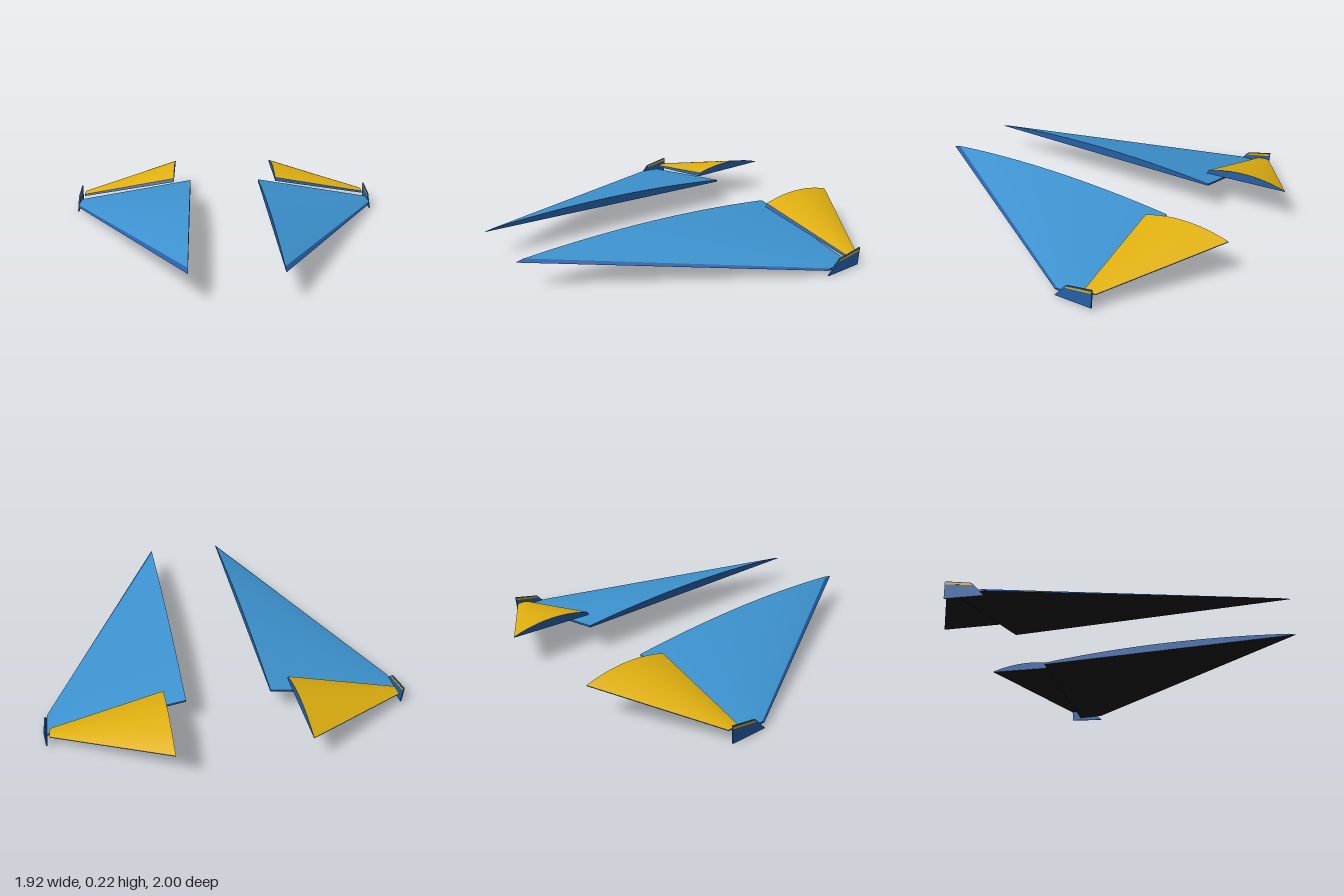
import * as THREE from 'three';
import { mergeGeometries } from 'three/addons/utils/BufferGeometryUtils.js';

const mat = (name, color, side = THREE.FrontSide) => {
  const m = new THREE.MeshStandardMaterial({ color, side });
  m.name = name;
  return m;
};

// Smooth surface ruled between two rows of points
function ruled(a, b, steps, side) {
  const n = a.length, pos = [], idx = [];
  for (let j = 0; j <= steps; j++)
    for (let i = 0; i < n; i++) {
      const p = a[i].clone().lerp(b[i], j / steps);
      pos.push(p.x * side, p.y, p.z);
    }
  for (let j = 0; j < steps; j++)
    for (let i = 0; i < n - 1; i++) {
      const p = j * n + i, q = p + n;
      if (side > 0) idx.push(p, q, p + 1, p + 1, q, q + 1);
      else idx.push(p, p + 1, q, p + 1, q + 1, q);
    }
  const g = new THREE.BufferGeometry();
  g.setAttribute('position', new THREE.Float32BufferAttribute(pos, 3));
  g.setIndex(idx);
  g.computeVertexNormals();
  return g;
}

// Chord line from front to back, arched upward by camber
function chord(x, zFront, yFront, zBack, yBack, camber = 0, n = 24) {
  return Array.from({ length: n + 1 }, (_, i) => {
    const t = i / n;
    return new THREE.Vector3(x,
      THREE.MathUtils.lerp(yFront, yBack, t) + camber * 4 * t * (1 - t),
      THREE.MathUtils.lerp(zFront, zBack, t));
  });
}

// Closed panel with an arched top, flat underside and contrasting edges
function panel(name, side, { rootTop, rootBottom, tipTop, tipBottom }, skin, under, edge) {
  const group = new THREE.Group();
  group.name = name;
  const add = (part, geo, material) => {
    const m = new THREE.Mesh(geo, material);
    m.name = name + part;
    group.add(m);
  };
  const last = rootTop.length - 1;
  add('Skin', ruled(rootTop, tipTop, 10, side), skin);
  add('Underside', ruled(tipBottom, rootBottom, 10, side), under);
  add('Edges', mergeGeometries([
    ruled(rootBottom, rootTop, 1, side),
    ruled(tipTop, tipBottom, 1, side),
    ruled([rootTop[0], tipTop[0]], [rootBottom[0], tipBottom[0]], 1, side),
    ruled([rootBottom[last], tipBottom[last]], [rootTop[last], tipTop[last]], 1, side),
  ]), edge);
  return group;
}

// Thin upright plate from [z, y] corners, centred on x
function plate(name, corners, x, depth, material) {
  const shape = new THREE.Shape(corners.map(([z, y]) => new THREE.Vector2(-z, y)));
  const g = new THREE.ExtrudeGeometry(shape, { depth, bevelEnabled: false });
  g.translate(0, 0, -depth / 2).rotateY(Math.PI / 2).translate(x, 0, 0);
  const m = new THREE.Mesh(g, material);
  m.name = name;
  return m;
}

export function createModel() {
  const skyBlue = mat('skyBlue', 0x3d93d0);
  const deepBlue = mat('deepBlue', 0x2560a8);
  const yellow = mat('yellow', 0xe0b010);
  const black = mat('black', 0x1a191e);

  const model = new THREE.Group();
  model.name = 'deltaWings';

  for (const side of [1, -1]) {
    const label = side > 0 ? 'left' : 'right';

    // Main delta wing
    model.add(panel(label + 'Wing', side, {
      rootTop: chord(0.225, 0.95, 0.166, -0.59, 0.16, 0.037),
      rootBottom: chord(0.225, 0.995, 0.155, -0.59, 0.149),
      tipTop: chord(0.95, -0.445, 0.04, -0.585, 0.037, 0.002),
      tipBottom: chord(0.95, -0.43, 0.029, -0.585, 0.027),
    }, skyBlue, black, deepBlue));

    // Raised trailing flap
    model.add(panel(label + 'Flap', side, {
      rootTop: chord(0.335, -0.53, 0.188, -1, 0.19, 0.036),
      rootBottom: chord(0.335, -0.52, 0.167, -1, 0.186),
      tipTop: chord(0.93, -0.582, 0.072, -0.65, 0.077, 0.003),
      tipBottom: chord(0.93, -0.578, 0.061, -0.65, 0.073),
    }, yellow, black, deepBlue));

    // Tip fin with a stripe near its upper edge
    model.add(plate(label + 'TipFin',
      [[-0.43, 0], [-0.5, 0.08], [-0.65, 0.112], [-0.645, 0.014]],
      side * 0.953, 0.007, deepBlue));
    model.add(plate(label + 'TipFinStripe',
      [[-0.497, 0.066], [-0.503, 0.077], [-0.648, 0.106], [-0.648, 0.094]],
      side * 0.953, 0.0095, yellow));
  }
  return model;
}
